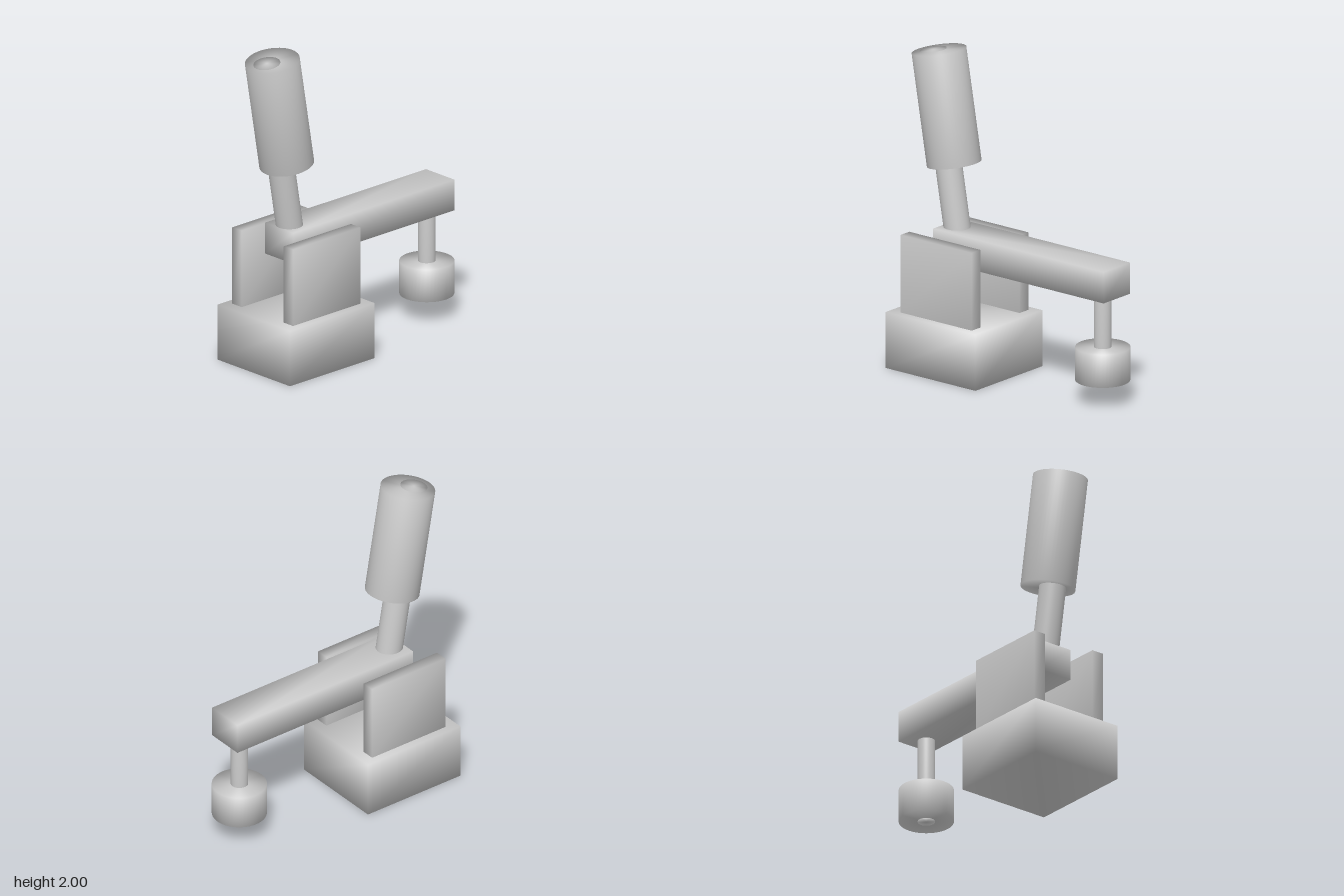
import * as THREE from 'three';
import { mergeVertices } from 'three/addons/utils/BufferGeometryUtils.js';

const material = new THREE.MeshStandardMaterial({ color: 0xcccccc });

// Weld the corners so shading runs smoothly over every edge
function soften(geometry) {
  geometry.deleteAttribute('uv');
  geometry.deleteAttribute('normal');
  const welded = mergeVertices(geometry, 1e-4);
  welded.computeVertexNormals();
  return welded;
}

// Box given by its extents
function box(name, x0, x1, y0, y1, z0, z1) {
  const mesh = new THREE.Mesh(soften(new THREE.BoxGeometry(x1 - x0, y1 - y0, z1 - z0)), material);
  mesh.position.set((x0 + x1) / 2, (y0 + y1) / 2, (z0 + z1) / 2);
  mesh.name = name;
  return mesh;
}

// Upright cylinder from y0 to y1 at a given x
function rod(name, radius, x, y0, y1) {
  const mesh = new THREE.Mesh(soften(new THREE.CylinderGeometry(radius, radius, y1 - y0, 48)), material);
  mesh.position.set(x, (y0 + y1) / 2, 0);
  mesh.name = name;
  return mesh;
}

export function createModel() {
  const model = new THREE.Group();
  model.name = 'leverPress';

  // Base block with two side plates
  model.add(box('base', -0.8, -0.095, 0, 0.355, -0.317, 0.317));
  model.add(box('leftPlate', -0.725, -0.165, 0.355, 0.847, 0.184, 0.267));
  model.add(box('rightPlate', -0.725, -0.165, 0.355, 0.847, -0.267, -0.184));

  // Horizontal arm held between the plates
  model.add(box('arm', -0.588, 0.753, 0.682, 0.88, -0.125, 0.125));

  // Plunger under the end of the arm, its rod running through the foot
  model.add(rod('plungerRod', 0.053, 0.641, 0.143, 0.78));
  model.add(rod('plungerFoot', 0.167, 0.642, 0.146, 0.355));

  // Tilted lever, its rod set off-centre in the grip and running through it
  const lever = new THREE.Group();
  lever.name = 'lever';
  lever.position.set(-0.525, 1.278, 0);
  lever.rotation.z = THREE.MathUtils.degToRad(9.8);
  lever.add(rod('grip', 0.167, 0, 0, 0.705));
  lever.add(rod('leverRod', 0.082, -0.046, -0.47, 0.708));
  model.add(lever);

  return model;
}
